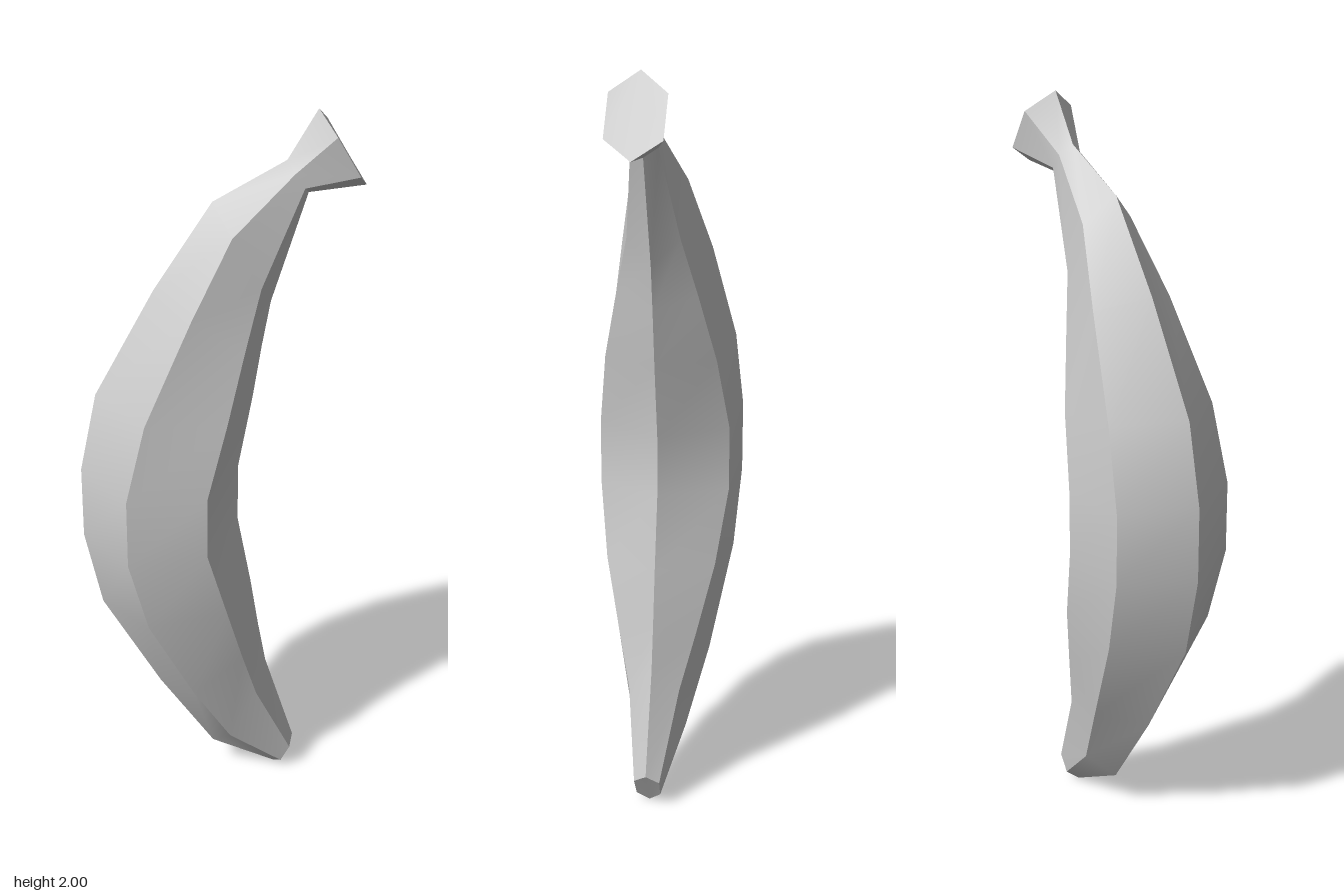
import * as THREE from 'three';
import { toCreasedNormals } from 'three/addons/utils/BufferGeometryUtils.js';

// Lower half of the hexagonal sections, tip to middle.
// Each row: outer ridge x,y | outer side x,y,z | inner side x,y,z | inner ridge x,y
const half = [
  [0.16, 0.005, 0.175, 0.03, 0.033, 0.2, 0.078, 0.035, 0.213, 0.1],
  [-0.02, 0.1, 0.02, 0.17, 0.075, 0.095, 0.31, 0.07, 0.13, 0.375],
  [-0.17, 0.33, -0.087, 0.365, 0.122, 0.05, 0.465, 0.108, 0.108, 0.5],
  [-0.325, 0.615, -0.213, 0.63, 0.167, 0, 0.65, 0.15, 0.085, 0.65],
  [-0.37, 0.835, -0.265, 0.84, 0.181, -0.055, 0.85, 0.177, 0.048, 0.855],
];
// Neck and flared stem end
const stem = [
  [0.165, 1.873, 0.18, 1.847, 0.033, 0.205, 1.81, 0.035, 0.22, 1.787],
  [0.24, 2, 0.275, 1.95, 0.073, 0.335, 1.847, 0.073, 0.365, 1.8],
];

const flip = (r) => r.map((v, i) => ([1, 3, 6, 9].includes(i) ? 1.873 - v : v));

// Six corners of one section, counterclockwise from above
function ring([ox, oy, sx, sy, sz, ix, iy, iz, rx, ry]) {
  return [
    [ox, oy, 0], [sx, sy, sz], [ix, iy, iz],
    [rx, ry, 0], [ix, iy, -iz], [sx, sy, -sz],
  ];
}

export function createModel() {
  const upper = half.slice(1).reverse().map(flip);
  const rings = [...half, ...upper, ...stem].map(ring);
  const pos = [];
  const tri = (a, b, c) => pos.push(...a, ...b, ...c);

  // Skin between neighbouring sections
  for (let i = 0; i < rings.length - 1; i++) {
    for (let j = 0; j < 6; j++) {
      const k = (j + 1) % 6;
      const a = rings[i][j], b = rings[i][k], c = rings[i + 1][k], d = rings[i + 1][j];
      tri(a, b, c);
      tri(a, c, d);
    }
  }
  // Flat ends of the tip and the stem
  const first = rings[0], last = rings[rings.length - 1];
  for (let j = 1; j < 5; j++) {
    tri(first[0], first[j + 1], first[j]);
    tri(last[0], last[j], last[j + 1]);
  }

  const geo = new THREE.BufferGeometry();
  geo.setAttribute('position', new THREE.Float32BufferAttribute(pos, 3));
  const banana = new THREE.Mesh(
    toCreasedNormals(geo, THREE.MathUtils.degToRad(35)),
    new THREE.MeshStandardMaterial({ color: 0xcccccc })
  );
  banana.name = 'banana';

  const group = new THREE.Group();
  group.name = 'bananaModel';
  group.add(banana);
  return group;
}
